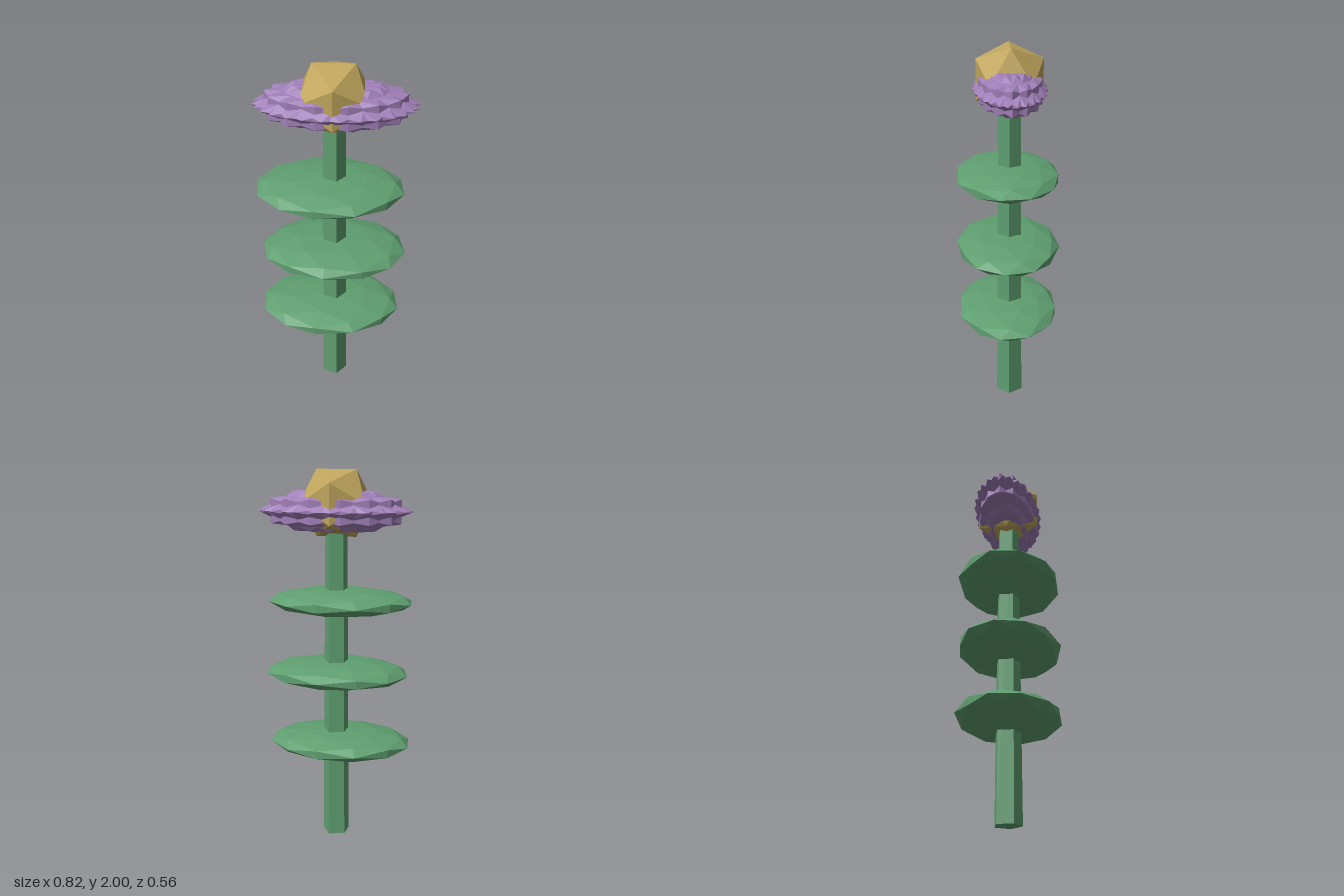
import * as THREE from 'three';
import { mergeGeometries } from 'three/addons/utils/BufferGeometryUtils.js';

const CX = -0.01, CZ = -0.01; // axis of the plant

const flat = (color) => new THREE.MeshStandardMaterial({ color, flatShading: true });

function addPart(group, name, geometry, material, x, y, z) {
  const mesh = new THREE.Mesh(geometry, material);
  mesh.name = name;
  mesh.position.set(x, y, z);
  group.add(mesh);
  return mesh;
}

// Faceted ball, turned about y and then squashed into an oval
function ovalBlob(detail, turn, rx, ry, rz) {
  return new THREE.IcosahedronGeometry(1, detail).rotateY(turn).scale(rx, ry, rz);
}

export function createModel() {
  const model = new THREE.Group();
  model.name = 'flower';
  const green = flat(0x5f9f70);
  const purple = flat(0xa07fb8);
  const gold = flat(0xbfa55c);

  // Tapered five-sided stem
  const stemHeight = 1.76;
  addPart(model, 'stem',
    new THREE.CylinderGeometry(0.06, 0.075, stemHeight, 5, 1, false, THREE.MathUtils.degToRad(13.5)),
    green, CX, stemHeight / 2, CZ);

  // Three flattened leaves, the middle one turned differently
  const leaves = [
    { name: 'lowerLeaf', y: 0.54, turn: 0.35, x: -0.03 },
    { name: 'middleLeaf', y: 0.93, turn: -0.12, x: -0.01 },
    { name: 'upperLeaf', y: 1.32, turn: 0.35, x: -0.03 },
  ];
  for (const { name, y, turn, x } of leaves) {
    addPart(model, name, ovalBlob(1, turn, 0.39, 0.07, 0.28), green, x, y, 0);
  }

  // Ruffled blossom: overlapping turned blobs squashed into one oval
  const layers = [];
  const count = 7;
  for (let i = 0; i < count; i++) {
    layers.push(ovalBlob(0, ((i + 0.4) * Math.PI) / count, 0.41, 0.12, 0.19));
  }
  addPart(model, 'petals', mergeGeometries(layers), purple, 0, 1.79, CZ);

  // Faceted heart of the flower
  addPart(model, 'flowerCentre', new THREE.IcosahedronGeometry(0.2, 0), gold, CX, 1.83, CZ);

  return model;
}
